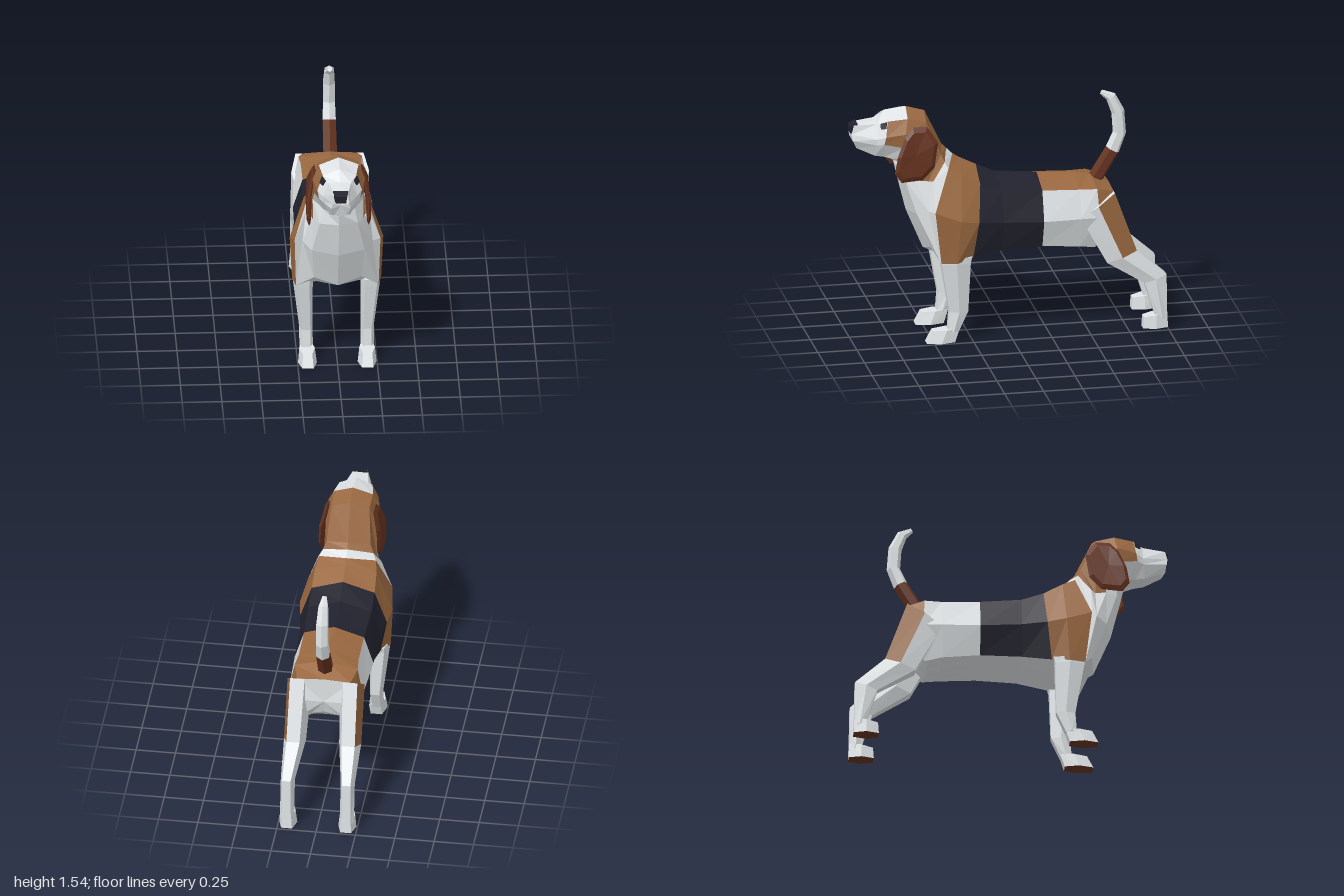
import * as THREE from 'three';

const flat = (name, color) => {
  const m = new THREE.MeshStandardMaterial({ color, flatShading: true });
  m.name = name;
  return m;
};

// Skins a list of closed rings; paint(segment, side) gives the material index.
function loft(rings, paint, startPaint = 0, endPaint = 0) {
  const buckets = [[], [], [], []];
  const n = rings[0].length;
  const tri = (k, a, b, c) => buckets[k].push([a, b, c]);
  for (let i = 0; i < rings.length - 1; i++) {
    for (let j = 0; j < n; j++) {
      const k = (j + 1) % n, p = paint(i, j);
      const a = rings[i][j], b = rings[i][k], c = rings[i + 1][k], d = rings[i + 1][j];
      tri(p, a, d, c);
      tri(p, a, c, b);
    }
  }
  const cap = (ring, p, flip) => {
    const mid = [0, 1, 2].map(q => ring.reduce((s, v) => s + v[q], 0) / n);
    ring.forEach((v, j) => {
      const w = ring[(j + 1) % n];
      flip ? tri(p, mid, w, v) : tri(p, mid, v, w);
    });
  };
  cap(rings[0], startPaint, false);
  cap(rings[rings.length - 1], endPaint, true);

  // Signed volume decides which way the faces must turn
  let volume = 0;
  const v3 = v => new THREE.Vector3(...v);
  const origin = v3(rings[0][0]);
  buckets.flat().forEach(([a, b, c]) => {
    volume += v3(a).sub(origin).dot(v3(b).sub(origin).cross(v3(c).sub(origin)));
  });
  const pos = [];
  const geo = new THREE.BufferGeometry();
  buckets.forEach((tris, k) => {
    if (!tris.length) return;
    geo.addGroup(pos.length / 3, tris.length * 3, k);
    tris.forEach(([a, b, c]) => pos.push(...a, ...(volume < 0 ? c : b), ...(volume < 0 ? b : c)));
  });
  geo.setAttribute('position', new THREE.Float32BufferAttribute(pos, 3));
  geo.computeVertexNormals();
  return geo;
}

// Half section (spine to underside) completed by mirroring
const mirrorRing = half => [...half, ...half.slice(1, -1).reverse().map(([x, y, z]) => [-x, y, z])];

// Six-sided leg section from front and back edges and inner and outer x
function legRing([zf, yf, zb, yb, xi, xo], s) {
  const w = (xo - xi) * 0.2, zm = (zf + zb) / 2, ym = (yf + yb) / 2;
  return [[xi + w, yf, zf], [xo - w, yf, zf], [xo, ym, zm], [xo - w, yb, zb], [xi + w, yb, zb], [xi, ym, zm]]
    .map(([x, y, z]) => [s * x, y, z]);
}

export function createModel() {
  const dog = new THREE.Group();
  dog.name = 'dog';
  const WHITE = 0, TAN = 1, BLACK = 2, CHESTNUT = 3;
  const mats = [flat('white coat', 0xdfe3e5), flat('tan coat', 0x996840),
    flat('black coat', 0x22222e), flat('chestnut coat', 0x64321f)];
  const add = (name, geo, mat = mats) => {
    const m = new THREE.Mesh(geo, mat);
    m.name = name;
    dog.add(m);
  };

  // Torso, from rump to the base of the neck: spine, back edge, flank, lower flank, belly edge, belly
  const torso = [
    [[0, .93, -.66], [.17, .92, -.66], [.2, .78, -.69], [.15, .64, -.66], [.08, .65, -.63], [0, .66, -.62]],
    [[0, .99, -.54], [.2, .95, -.55], [.235, .77, -.56], [.16, .55, -.54], [.08, .57, -.52], [0, .575, -.52]],
    [[0, 1.005, -.44], [.19, .95, -.44], [.24, .77, -.44], [.18, .57, -.44], [.09, .555, -.44], [0, .545, -.44]],
    [[0, 1.02, -.2], [.19, .96, -.2], [.25, .77, -.2], [.19, .59, -.2], [.1, .56, -.2], [0, .53, -.2]],
    [[0, 1.04, .06], [.2, .98, .06], [.255, .785, .06], [.2, .585, .06], [.1, .55, .06], [0, .522, .06]],
    [[0, 1.1, .19], [.2, 1.03, .2], [.275, .8, .22], [.23, .56, .25], [.12, .52, .26], [0, .49, .27]],
    [[0, 1.15, .29], [.195, 1.1, .32], [.295, .82, .34], [.28, .54, .36], [.13, .53, .38], [0, .5, .38]],
    [[0, 1.18, .34], [.18, 1.14, .4], [.27, .88, .5], [.26, .54, .46], [.15, .62, .51], [0, .57, .53]],
  ];
  // Neck and head, up to the tip of the muzzle
  const head = [
    [[0, 1.22, .38], [.16, 1.18, .42], [.2, 1.07, .5], [.22, .88, .535], [.165, .85, .6], [0, .83, .64]],
    [[0, 1.25, .41], [.14, 1.23, .44], [.17, 1.06, .53], [.16, 1.07, .6], [.12, 1.07, .67], [0, 1.07, .7]],
    [[0, 1.48, .52], [.12, 1.44, .53], [.16, 1.33, .55], [.16, 1.2, .58], [.1, 1.17, .66], [0, 1.16, .72]],
    [[0, 1.515, .64], [.125, 1.47, .65], [.165, 1.38, .67], [.155, 1.29, .68], [.09, 1.2, .74], [0, 1.185, .75]],
    [[0, 1.5, .78], [.105, 1.455, .775], [.14, 1.36, .79], [.13, 1.31, .8], [.07, 1.21, .79], [0, 1.195, .8]],
    [[0, 1.435, .835], [.07, 1.43, .835], [.11, 1.34, .835], [.105, 1.3, .84], [.065, 1.22, .85], [0, 1.215, .86]],
    [[0, 1.42, .98], [.045, 1.42, .98], [.05, 1.365, .995], [.06, 1.325, .99], [.04, 1.27, .96], [0, 1.255, .955]],
  ];
  const sections = [...torso, ...head];
  const coat = (i, j) => {
    const row = j < 5 ? j : 9 - j; // 0 is the spine row, 4 the belly row
    if (row > 2) return WHITE;
    if (i === 0) return row < 2 ? TAN : WHITE; // rump
    if (i < 3) return row === 0 ? TAN : WHITE; // loin
    if (i < 5) return BLACK; // saddle
    if (i < 7) return TAN; // shoulders
    if (i === 7) return WHITE; // collar
    if (i === 8) return row < 2 ? TAN : WHITE; // neck
    if (i < 11) return TAN; // head
    return i === 11 && row > 0 ? TAN : WHITE; // brow and muzzle
  };
  add('body', loft(sections.map(mirrorRing), coat));

  // Nose
  const noseRing = (z, xt, yt, xb, yb) => [[-xt, yt, z], [xt, yt, z], [xb, yb, z], [-xb, yb, z]];
  add('nose', loft([noseRing(.955, .048, 1.432, .05, 1.37), noseRing(1, .04, 1.413, .03, 1.367)],
    () => BLACK, BLACK, BLACK));

  // Tail: [y, z, radius], dark at the root
  const spine = [[.95, -.57, .05], [1.14, -.685, .047], [1.25, -.73, .043], [1.39, -.72, .042],
    [1.49, -.675, .034], [1.525, -.615, .016]];
  const tailRings = spine.map(([y, z, r], i) => {
    const p = spine[Math.max(i - 1, 0)], q = spine[Math.min(i + 1, spine.length - 1)];
    const len = Math.hypot(q[0] - p[0], q[1] - p[1]);
    const ny = -(q[1] - p[1]) / len, nz = (q[0] - p[0]) / len;
    return Array.from({ length: 6 }, (_, k) => {
      const a = k * Math.PI / 3, c = Math.cos(a) * r, s = Math.sin(a) * r;
      return [s, y + ny * c, z + nz * c];
    });
  });
  add('tail', loft(tailRings, i => (i === 0 ? CHESTNUT : WHITE), CHESTNUT, WHITE));

  const foreLeg = [[.46, .57, .26, .57, .15, .275], [.455, .53, .27, .53, .15, .275],
    [.4, .2, .28, .2, .15, .235], [.41, .07, .34, .07, .15, .235]];
  const forePaw = [[.505, .08, .335, .09, .14, .238], [.545, 0, .365, 0, .128, .247]];
  const hindLeg = [[-.44, .77, -.66, .92, .09, .245], [-.61, .46, -.8, .53, .105, .245],
    [-.85, .31, -.99, .36, .145, .235], [-.925, .07, -.995, .07, .145, .235]];
  const hindPaw = [[-.845, .085, -.995, .11, .14, .238], [-.84, .01, -.998, .01, .13, .245]];
  const earOutline = [[.62, 1.42], [.53, 1.42], [.465, 1.32], [.49, 1.16], [.565, 1.08],
    [.7, 1.07], [.745, 1.13], [.725, 1.24], [.675, 1.36]];

  for (const s of [1, -1]) {
    const side = s > 0 ? 'left' : 'right';
    const rings = list => list.map(r => legRing(r, s));
    add(side + 'ForeLeg', loft(rings(foreLeg), () => WHITE));
    add(side + 'ForePaw', loft(rings(forePaw), () => WHITE, WHITE, CHESTNUT));
    // Tan strip down the back of the thigh
    add(side + 'HindLeg', loft(rings(hindLeg), (i, j) => (i === 0 && j === 2 ? TAN : WHITE)));
    add(side + 'HindPaw', loft(rings(hindPaw), () => WHITE, WHITE, CHESTNUT));

    // Ear: a thin hanging flap that bends in to the head at the top
    const earX = y => .192 - Math.max(0, y - 1.28) * .28;
    const earRing = (dx, k) => earOutline.map(([z, y]) => {
      const yy = 1.25 + (y - 1.25) * k;
      return [s * (earX(yy) + dx), yy, .61 + (z - .61) * k];
    });
    add(side + 'Ear', loft([earRing(-.014, .9), earRing(-.004, 1), earRing(.01, .82)],
      () => CHESTNUT, CHESTNUT, CHESTNUT));

    // Eye: a thin plate on the slope beside the brow
    const eye = [[.107, 1.452, .78], [.088, 1.437, .815], [.104, 1.405, .815], [.122, 1.412, .785]];
    const eyeRing = d => eye.map(([x, y, z]) => [s * (x + d * .8), y + d * .25, z + d * .55]);
    add(side + 'Eye', loft([eyeRing(-.001), eyeRing(.007)], () => BLACK, BLACK, BLACK));
  }
  return dog;
}
